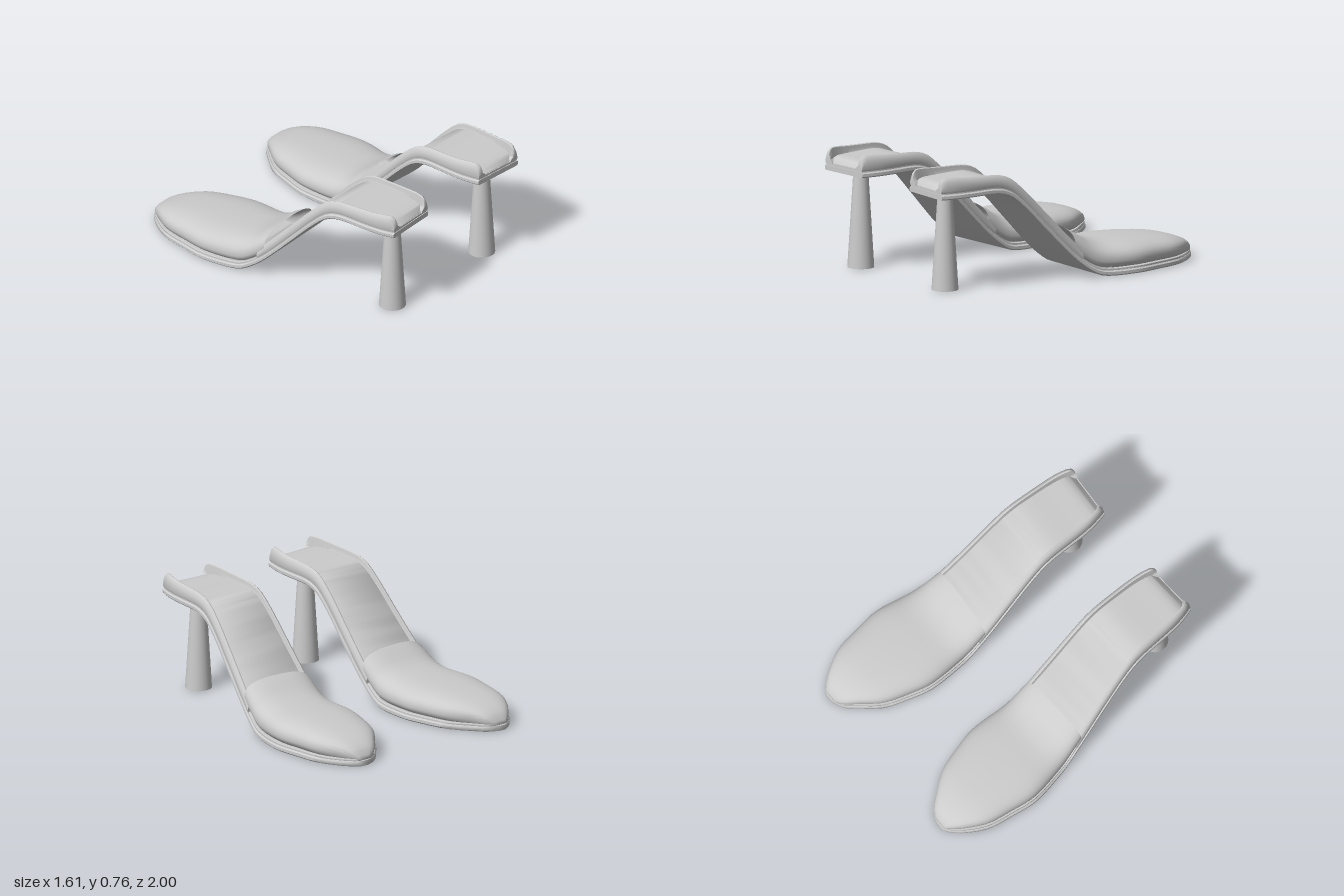
import * as THREE from 'three';
import { toCreasedNormals } from 'three/addons/utils/BufferGeometryUtils.js';

const material = new THREE.MeshStandardMaterial({ color: 0xcccccc });
const shellMaterial = new THREE.MeshStandardMaterial({ color: 0xcccccc, side: THREE.DoubleSide });

// Smooth curve through [z, value] points
function curve(points) {
  const slope = (i) => {
    const a = points[Math.max(i - 1, 0)], b = points[Math.min(i + 1, points.length - 1)];
    return (b[1] - a[1]) / (b[0] - a[0]);
  };
  return (z) => {
    let i = 0;
    while (i < points.length - 2 && z > points[i + 1][0]) i++;
    const [z0, v0] = points[i], [z1, v1] = points[i + 1];
    const d = z1 - z0, t = THREE.MathUtils.clamp((z - z0) / d, 0, 1);
    const t2 = t * t, t3 = t2 * t;
    return (2 * t3 - 3 * t2 + 1) * v0 + (t3 - 2 * t2 + t) * d * slope(i)
      + (3 * t2 - 2 * t3) * v1 + (t3 - t2) * d * slope(i + 1);
  };
}

// Plan outline of the sole, underside height and top of the toe cover
const inner = curve([[-1, 0.52], [-0.97, 0.45], [-0.9, 0.385], [-0.77, 0.285], [-0.6, 0.225], [-0.45, 0.19],
  [-0.2, 0.195], [0, 0.2], [0.4, 0.21], [0.8, 0.212], [0.9, 0.222], [0.985, 0.24]]);
const outer = curve([[-1, 0.58], [-0.97, 0.625], [-0.9, 0.685], [-0.77, 0.755], [-0.6, 0.785], [-0.42, 0.803],
  [-0.2, 0.762], [0, 0.72], [0.4, 0.665], [0.8, 0.635], [0.9, 0.62], [0.985, 0.595]]);
const under = curve([[-1, 0], [-0.4, 0], [-0.22, 0.001], [-0.14, 0.022], [0, 0.125], [0.2, 0.325], [0.35, 0.48],
  [0.46, 0.575], [0.54, 0.607], [0.61, 0.615], [0.75, 0.615], [1, 0.615]]);
const coverTop = curve([[-0.99, 0.055], [-0.97, 0.09], [-0.93, 0.122], [-0.87, 0.147], [-0.78, 0.17], [-0.6, 0.19],
  [-0.4, 0.2], [-0.25, 0.204], [-0.17, 0.222], [-0.1, 0.255], [-0.04, 0.298], [0, 0.315]]);
const wallTop = curve([[-0.06, 0.1], [0.02, 0.115], [0.25, 0.12], [0.45, 0.12], [0.6, 0.12],
  [0.8, 0.13], [0.95, 0.141], [0.975, 0.125], [0.985, 0.1]]);

// Stations along the shoe, closer together at toe and heel
function stations(from, to) {
  const list = [from];
  for (const z of [-0.985, -0.97, -0.95, -0.92, -0.88, -0.83]) if (z > from + 0.004 && z < to) list.push(z);
  for (let z = -0.78; z < to - 0.02; z += 0.04) if (z > from + 0.01) list.push(z);
  for (const z of [0.955, 0.975]) if (z > from && z < to && z > list[list.length - 1] + 0.004) list.push(z);
  list.push(to);
  return list;
}

// Skin over cross-sections; section(z) gives points counter-clockwise seen from +z
function loft(zs, section, side, { closed = true, startCap = true, endCap = true } = {}) {
  const pos = [], index = [];
  const add = (x, y, z) => {
    const skew = 0.06 * (x - 0.42) * THREE.MathUtils.smoothstep(z, -0.4, 0);
    pos.push(x * side, y, z + skew);
    return pos.length / 3 - 1;
  };
  const tri = (a, b, c) => (side > 0 ? index.push(a, b, c) : index.push(a, c, b));
  const rings = zs.map(section);
  const n = rings[0].length, spans = closed ? n : n - 1;
  rings.forEach((ring, i) => ring.forEach(([x, y]) => add(x, y, zs[i])));
  for (let i = 0; i < zs.length - 1; i++) {
    for (let j = 0; j < spans; j++) {
      const a = i * n + j, b = i * n + (j + 1) % n;
      tri(a, b, b + n);
      tri(a, b + n, a + n);
    }
  }
  const cap = (i, flip) => {
    const mid = [0, 1].map((k) => rings[i].reduce((s, p) => s + p[k], 0) / n);
    const m = add(mid[0], mid[1], zs[i]);
    for (let j = 0; j < n; j++) {
      const a = i * n + j, b = i * n + (j + 1) % n;
      flip ? tri(m, b, a) : tri(m, a, b);
    }
  };
  if (startCap) cap(0, true);
  if (endCap) cap(zs.length - 1, false);
  const geometry = new THREE.BufferGeometry();
  geometry.setAttribute('position', new THREE.Float32BufferAttribute(pos, 3));
  geometry.setIndex(index);
  return toCreasedNormals(geometry, 0.75);
}

// Flat slab section with chamfered corners
function slab(x0, x1, y0, y1, c) {
  return [[x0 + c, y0], [x1 - c, y0], [x1, y0 + c], [x1, y1 - c],
    [x1 - c, y1], [x0 + c, y1], [x0, y1 - c], [x0, y0 + c]];
}

// Side wall section, curling inward at its rim
function wallSection(z, isOuter) {
  const y = under(z), h = wallTop(z);
  const edge = isOuter ? outer(z) - 0.004 : inner(z) + 0.004;
  const dir = isOuter ? -1 : 1;
  const profile = [[0.005, 0.042], [0.065, 0.045], [0.06, 0.058], [0.042, 0.072], [0.036, h - 0.022],
    [0.033, h - 0.004], [0.024, h], [0.013, h - 0.008], [0.002, h - 0.032], [0, 0.055]];
  const ring = profile.map(([dx, dy]) => [edge + dir * dx, y + dy]);
  return isOuter ? ring.reverse() : ring;
}

// Rounded toe cover section, tucked in at the bottom
function coverSection(z) {
  const x0 = inner(z) + 0.01, x1 = outer(z) - 0.01;
  const top = coverTop(z), base = under(z) + 0.035;
  const waist = base + Math.min(0.055, (top - base) * 0.5);
  const ring = [];
  for (let i = 0; i <= 28; i++) {
    const t = -0.65 + (Math.PI + 1.3) * i / 28;
    const c = Math.cos(t), s = Math.sin(t);
    const x = (x0 + x1) / 2 + (x1 - x0) / 2 * Math.sign(c) * Math.abs(c) ** 0.7;
    const y = s > 0 ? waist + (top - waist) * s ** 0.8 : waist + (waist - base) * 1.6 * s;
    ring.push([x, y]);
  }
  return ring;
}

function createShoe(side) {
  const shoe = new THREE.Group();
  const part = (name, geometry, mat = material) => {
    const mesh = new THREE.Mesh(geometry, mat);
    mesh.name = name;
    shoe.add(mesh);
  };

  // Outsole and the thin layer above it
  part('outsole', loft(stations(-1, 0.985),
    (z) => slab(inner(z), outer(z), under(z), under(z) + 0.034, 0.008), side));
  part('midsole', loft(stations(-0.985, 0.98),
    (z) => slab(inner(z) + 0.01, outer(z) - 0.01, under(z) + 0.03, under(z) + 0.048, 0.003), side));

  // Padded footbed, sloping down at the heel edge
  part('footbed', loft(stations(-0.25, 0.975), (z) => {
    const lift = 0.085 - 0.035 * THREE.MathUtils.clamp((z - 0.93) / 0.045, 0, 1);
    return slab(inner(z) + 0.028, outer(z) - 0.028, under(z) + 0.04, under(z) + lift, 0.003);
  }, side));

  // Raised walls along both edges
  part('innerWall', loft(stations(-0.05, 0.985), (z) => wallSection(z, false), side));
  part('outerWall', loft(stations(-0.05, 0.985), (z) => wallSection(z, true), side));

  // Domed toe cover, open at the back
  part('toeCover', loft(stations(-0.99, 0), coverSection, side, { closed: false, endCap: false }), shellMaterial);

  // Tapered heel post
  const heel = new THREE.CylinderGeometry(0.047, 0.085, 0.62, 32);
  heel.translate(0.428 * side, 0.31, 0.84);
  part('heel', heel);
  return shoe;
}

export function createModel() {
  const model = new THREE.Group();
  model.name = 'pairOfShoes';
  for (const side of [1, -1]) {
    const shoe = createShoe(side);
    shoe.name = side > 0 ? 'leftShoe' : 'rightShoe';
    model.add(shoe);
  }
  return model;
}
